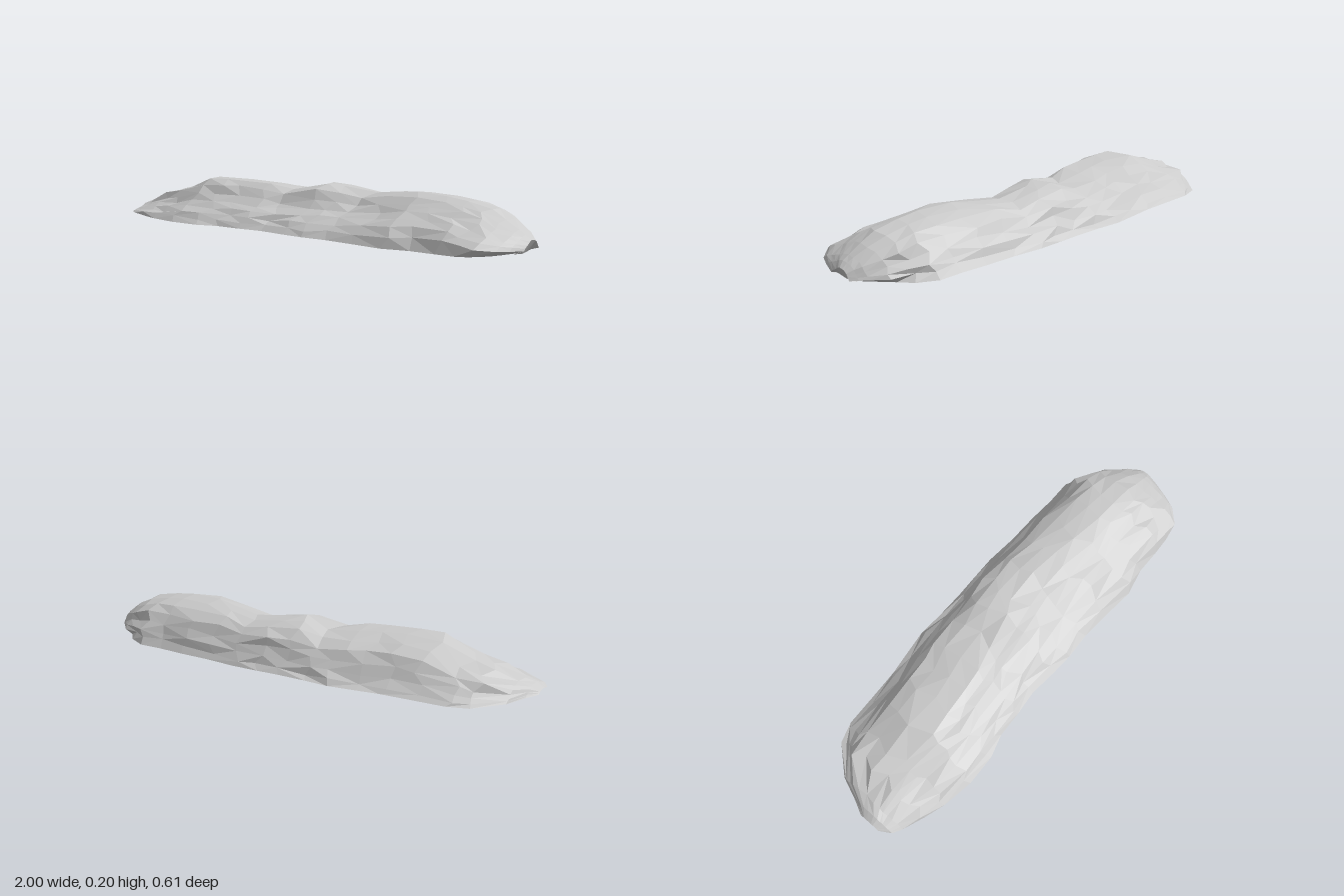
import * as THREE from 'three';

const BASE = 0.008;
const { lerp, clamp, smoothstep } = THREE.MathUtils;

// Stations along the mound: x, back rim z, front rim z, ridge z, ridge height
const STATIONS = [
  [-1.0, 0.05, 0.15, 0.11, 0.018], [-0.97, -0.01, 0.2, 0.1, 0.043], [-0.93, -0.11, 0.222, 0.07, 0.062],
  [-0.83, -0.225, 0.258, 0.05, 0.108], [-0.74, -0.255, 0.285, 0.06, 0.13], [-0.6, -0.262, 0.305, 0.08, 0.182],
  [-0.46, -0.27, 0.297, 0.075, 0.188], [-0.36, -0.285, 0.265, 0.06, 0.183], [-0.24, -0.302, 0.258, 0.04, 0.179],
  [-0.13, -0.297, 0.245, 0.01, 0.163], [0.0, -0.297, 0.255, -0.03, 0.195], [0.1, -0.302, 0.258, -0.06, 0.187],
  [0.22, -0.306, 0.25, -0.08, 0.17], [0.36, -0.296, 0.257, -0.06, 0.186], [0.5, -0.296, 0.267, -0.04, 0.195],
  [0.62, -0.29, 0.238, -0.03, 0.192], [0.73, -0.293, 0.235, -0.02, 0.181], [0.82, -0.255, 0.233, -0.02, 0.16],
  [0.89, -0.21, 0.225, -0.02, 0.125], [0.95, -0.15, 0.16, -0.02, 0.092], [0.975, -0.12, 0.1, -0.02, 0.075],
  [0.998, -0.09, 0.03, -0.03, 0.055],
];

// Cross-section from rim to rim: offset from ridge (-1 back, +1 front), height
// fraction at the left end (long foot), height fraction at the right end (full shoulder)
const PROFILE = [
  [-1, 0, 0], [-0.93, 0.13, 0.2], [-0.86, 0.27, 0.34], [-0.77, 0.5, 0.52], [-0.68, 0.73, 0.72],
  [-0.5, 0.88, 0.88], [-0.27, 0.97, 0.97], [0, 1, 1], [0.21, 0.89, 0.92], [0.34, 0.66, 0.8],
  [0.48, 0.51, 0.7], [0.64, 0.39, 0.59], [0.8, 0.25, 0.46], [0.92, 0.13, 0.26], [1, 0, 0],
];

function seeded(seed) {
  let s = seed;
  return () => {
    s = (s * 16807) % 2147483647;
    return (s / 2147483647) * 2 - 1;
  };
}

function moundGeometry() {
  const rand = seeded(71);
  const positions = [];
  const index = [];
  const cols = PROFILE.length;

  for (const [x, back, front, ridge, height] of STATIONS) {
    const blend = smoothstep(x, -0.1, 0.75);
    // the right end overhangs: its rim tucks in below a raised lip
    const tuck = smoothstep(x, 0.78, 0.93);
    // irregular facets, fading towards the narrow ends
    const rough = clamp((0.97 - Math.abs(x)) * 5, 0, 1);
    for (const [t, left, right] of PROFILE) {
      const f = lerp(left, right, blend);
      const rim = f === 0;
      const reach = t < 0 ? ridge - back : front - ridge;
      const spread = 1 + tuck * (rim ? -0.08 : 0.07 * t * t);
      const inner = rim ? 0 : rough;
      const bump = f < 0.95 ? 0.007 : 0.002;
      positions.push(
        x - (rim ? 0.035 * tuck : 0) + rand() * 0.03 * inner,
        BASE + (height - BASE) * f + rand() * bump * inner,
        ridge + t * reach * spread + rand() * 0.009 * inner,
      );
    }
  }

  // ground line closing the undercut below the right tip
  for (const [t] of PROFILE) {
    positions.push(0.965, BASE * Math.abs(t), -0.02 + t * 0.075);
  }

  for (let i = 0; i < STATIONS.length; i++) {
    for (let j = 0; j < cols - 1; j++) {
      const a = i * cols + j, b = a + 1, c = a + cols, d = c + 1;
      if (rand() > 0) index.push(a, b, c, b, d, c);
      else index.push(a, b, d, a, d, c);
    }
  }

  const g = new THREE.BufferGeometry();
  g.setAttribute('position', new THREE.Float32BufferAttribute(positions, 3));
  g.setIndex(index);
  g.computeVertexNormals();
  return g;
}

export function createModel() {
  const group = new THREE.Group();
  // Hollow shell, open underneath
  const material = new THREE.MeshStandardMaterial({ color: 0xcccccc, flatShading: true, side: THREE.DoubleSide });
  const mound = new THREE.Mesh(moundGeometry(), material);
  mound.name = 'rockMound';
  group.add(mound);
  return group;
}
